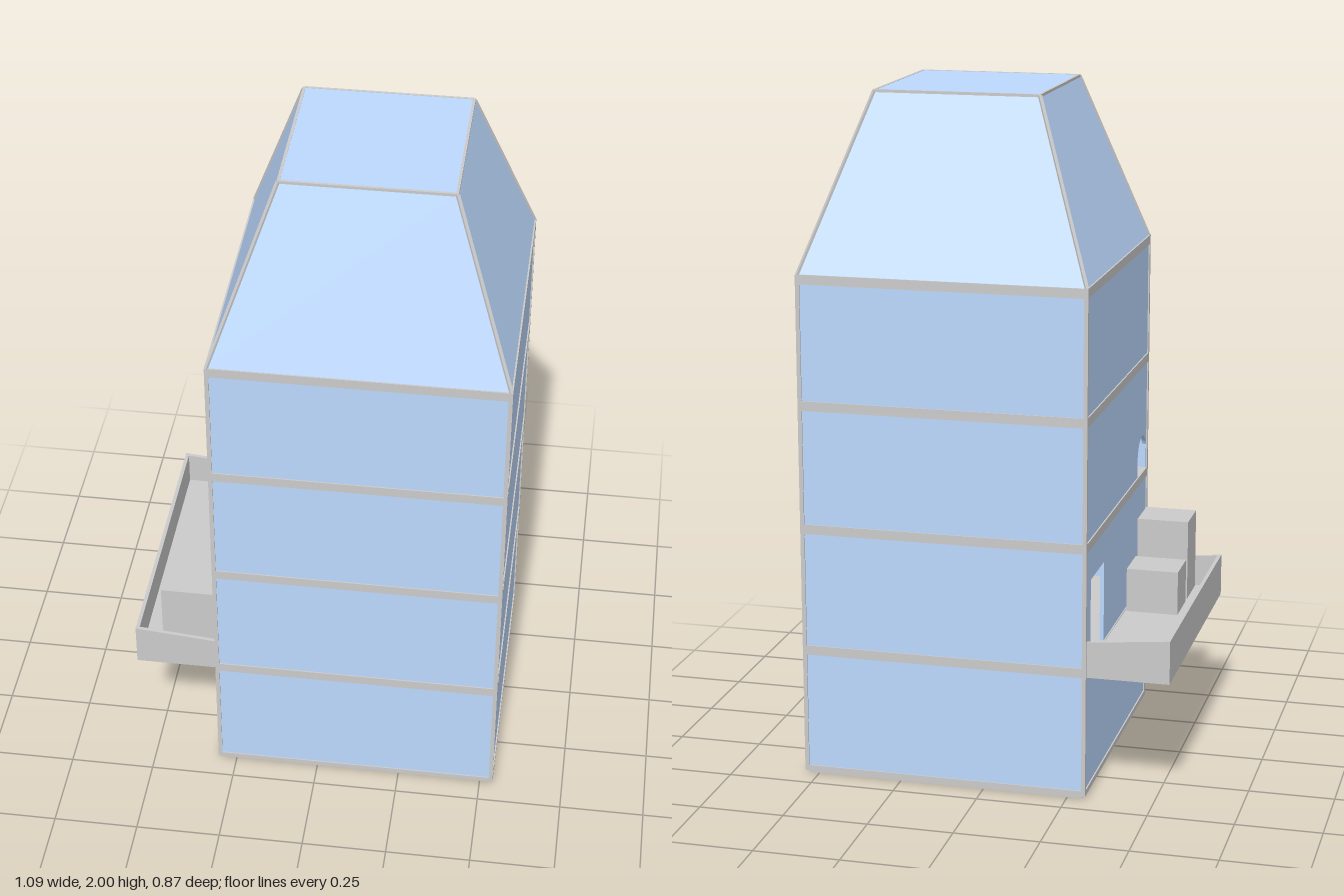
import * as THREE from 'three';

const grey = new THREE.MeshStandardMaterial({ color: 0xcccccc, flatShading: true });
const blue = new THREE.MeshStandardMaterial({ color: 0xbdd9ff, flatShading: true });

// Tower footprint and storey levels
const X0 = -0.305, X1 = 0.54, Z = 0.433, CX = (X0 + X1) / 2;
const INSET = 0.004, WALL = 0.012, SLAB = 0.028;
const levels = [0.01, 0.384, 0.751, 1.116, 1.482]; // slab centres

function add(parent, name, geometry, material) {
  const mesh = new THREE.Mesh(geometry, material);
  mesh.name = name;
  parent.add(mesh);
  return mesh;
}

// Box given by its extents
function block(parent, name, material, x0, x1, y0, y1, z0, z1) {
  const g = new THREE.BoxGeometry(x1 - x0, y1 - y0, z1 - z0);
  g.translate((x0 + x1) / 2, (y0 + y1) / 2, (z0 + z1) / 2);
  return add(parent, name, g, material);
}

// Thin square bar between two points
function bar(parent, name, a, b, t) {
  const m = add(parent, name, new THREE.BoxGeometry(t, t, a.distanceTo(b)), grey);
  m.position.copy(a).lerp(b, 0.5);
  m.lookAt(b);
  return m;
}

// Wall on the balcony side: outline in (z, y) with notches cut up from the floor
function cutWall(parent, name, y0, y1, notch) {
  const s = new THREE.Shape();
  const e = Z - INSET;
  s.moveTo(-e, y0);
  notch(s, y0);
  s.lineTo(e, y0);
  s.lineTo(e, y1);
  s.lineTo(-e, y1);
  s.closePath();
  const g = new THREE.ExtrudeGeometry(s, { depth: WALL, bevelEnabled: false, curveSegments: 8 });
  g.rotateY(-Math.PI / 2);
  g.translate(X0 + INSET + WALL, 0, 0);
  add(parent, name, g, blue);
}

const doorway = (s, y) => {
  s.lineTo(-0.357, y);
  s.lineTo(-0.357, 0.64);
  s.lineTo(-0.18, 0.64);
  s.lineTo(-0.18, y);
};
const archedHole = (s, y) => {
  s.lineTo(0.292, y);
  s.lineTo(0.292, 0.815);
  s.absarc(0.357, 0.815, 0.065, Math.PI, 0, true);
  s.lineTo(0.422, y);
};

function storeys(root) {
  block(root, 'base', grey, X0 + 0.01, X1 - 0.01, 0, 0.012, -Z + 0.01, Z - 0.01);
  block(root, 'groundSlab', grey, X0, X1, 0.01, 0.026, -Z, Z);
  for (let i = 1; i < 5; i++) {
    block(root, 'floorSlab', grey, X0, X1, levels[i] - SLAB / 2, levels[i] + SLAB / 2, -Z, Z);
  }
  for (let i = 0; i < 4; i++) {
    const storey = new THREE.Group();
    storey.name = 'storey' + (i + 1);
    root.add(storey);
    const y0 = i ? levels[i] + SLAB / 2 : 0.026;
    const y1 = levels[i + 1] - SLAB / 2;
    const a = X0 + INSET, b = X1 - INSET, c = Z - INSET;
    block(storey, 'frontWall', blue, a, b, y0, y1, c - WALL, c);
    block(storey, 'backWall', blue, a, b, y0, y1, -c, -c + WALL);
    block(storey, 'leftWall', blue, b - WALL, b, y0, y1, -c, c);
    cutWall(storey, 'rightWall', y0, y1, i === 1 ? doorway : i === 2 ? archedHole : () => {});
  }
  // Slim corner posts
  for (const x of [X0, X1 - 0.012]) {
    for (const z of [-Z, Z - 0.012]) {
      block(root, 'cornerPost', grey, x, x + 0.012, 0.02, 1.48, z, z + 0.012);
    }
  }
}

function roof(root) {
  const y0 = 1.494, y1 = 1.998, W = (X1 - X0) / 2 - INSET, D = Z - INSET;
  const w = 0.24, d = 0.246;
  const g = new THREE.BoxGeometry(2, 2, 2);
  const p = g.attributes.position;
  for (let i = 0; i < p.count; i++) {
    const top = p.getY(i) > 0;
    p.setXYZ(i, CX + p.getX(i) * (top ? w : W), top ? y1 : y0, p.getZ(i) * (top ? d : D));
  }
  g.computeVertexNormals();
  add(root, 'roof', g, blue);

  // Ridge bars and thin rim around the top
  const corners = [[-1, -1], [1, -1], [1, 1], [-1, 1]];
  const at = ([sx, sz]) => new THREE.Vector3(CX + sx * (w - 0.001), y1 - 0.003, sz * (d - 0.001));
  corners.forEach((c, i) => {
    const foot = new THREE.Vector3(CX + c[0] * (W - 0.002), y0, c[1] * (D - 0.002));
    bar(root, 'roofRidge', foot, at(c), 0.01);
    bar(root, 'roofRim', at(c), at(corners[(i + 1) % 4]), 0.008);
  });
}

function balcony(root) {
  const g = new THREE.Group();
  g.name = 'balcony';
  root.add(g);
  const out = -0.545, z0 = -0.425, z1 = 0.42, t = 0.011;
  block(g, 'balconyFloor', grey, out, X0 + 0.01, 0.37, 0.396, z0, z1);
  block(g, 'outerParapet', grey, out, out + t, 0.37, 0.498, z0, z1);
  // Side parapets drop slightly toward the wall
  const s = new THREE.Shape();
  s.moveTo(out, 0.37);
  s.lineTo(X0 + 0.005, 0.37);
  s.lineTo(X0 + 0.005, 0.475);
  s.lineTo(out, 0.498);
  s.closePath();
  for (const z of [z0, z1 - t]) {
    const side = new THREE.ExtrudeGeometry(s, { depth: t, bevelEnabled: false });
    side.translate(0, 0, z);
    add(g, 'sideParapet', side, grey);
  }
  block(g, 'tallCrate', grey, -0.466, -0.309, 0.39, 0.642, 0.265, 0.4);
  block(g, 'shortCrate', grey, -0.466, -0.309, 0.39, 0.53, 0.107, 0.24);
}

export function createModel() {
  const root = new THREE.Group();
  root.name = 'tower';
  storeys(root);
  roof(root);
  balcony(root);
  return root;
}
